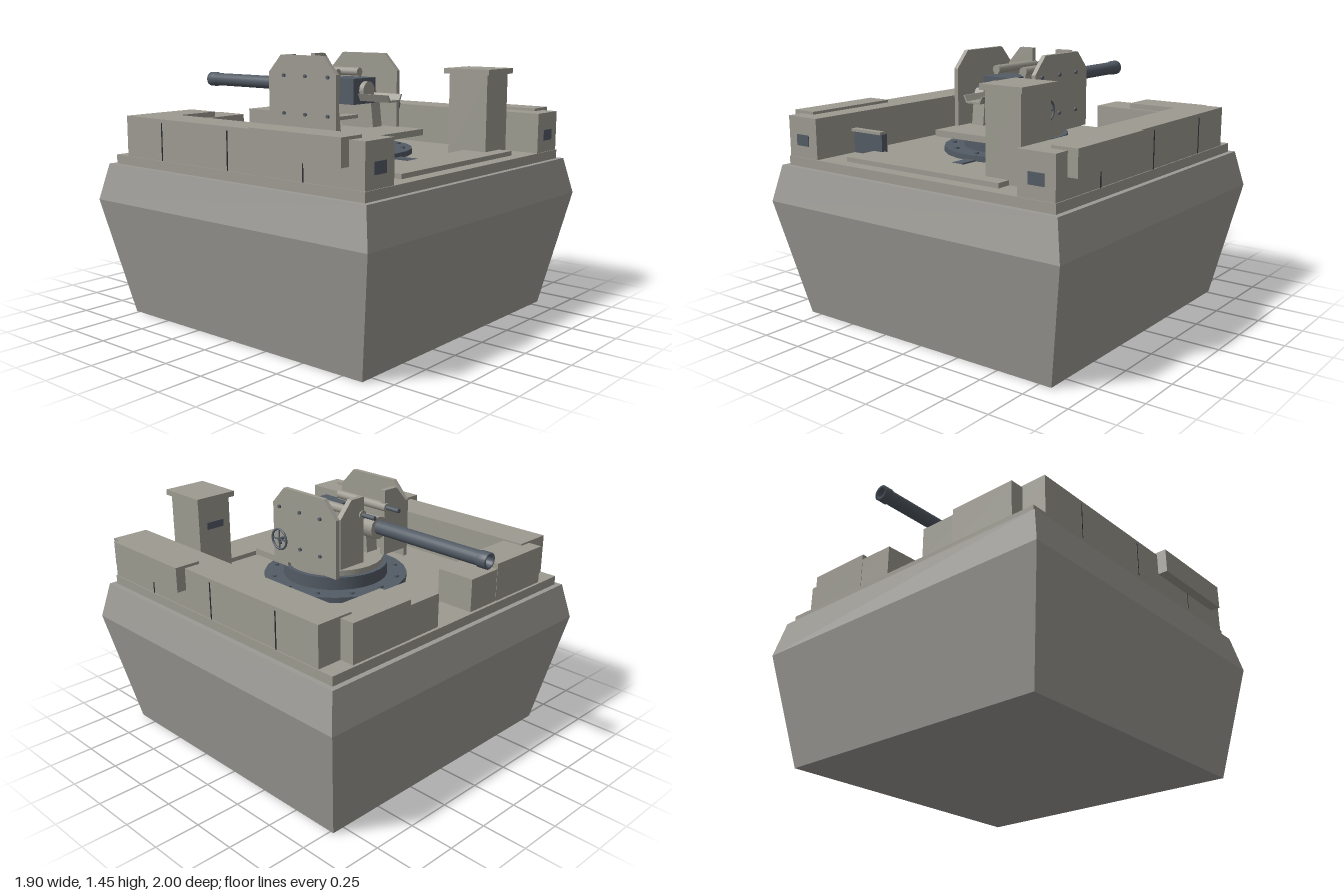
import * as THREE from 'three';

export function createModel() {
  const root = new THREE.Group();
  const concrete = new THREE.MeshStandardMaterial({ name: 'concrete grey', color: 0x9c9a95 });
  const grey = new THREE.MeshStandardMaterial({ name: 'painted grey', color: 0x9c9a90 });
  const steel = new THREE.MeshStandardMaterial({ name: 'dark steel', color: 0x535b65 });
  const black = new THREE.MeshStandardMaterial({ name: 'groove black', color: 0x2b2e33 });

  function add(name, geo, mat, parent = root) {
    const mesh = new THREE.Mesh(geo, mat);
    mesh.name = name;
    parent.add(mesh);
    return mesh;
  }
  // Box given by its extents on each axis
  function box(name, mat, x0, x1, y0, y1, z0, z1) {
    const g = new THREE.BoxGeometry(Math.abs(x1 - x0), y1 - y0, z1 - z0);
    g.translate((x0 + x1) / 2, (y0 + y1) / 2, (z0 + z1) / 2);
    return add(name, g, mat);
  }
  // Cylinder along x, y or z
  function rod(name, mat, axis, r, len, x, y, z, sides = 20) {
    const g = new THREE.CylinderGeometry(r, r, len, sides);
    if (axis === 'x') g.rotateZ(Math.PI / 2);
    if (axis === 'z') g.rotateX(Math.PI / 2);
    g.translate(x, y, z);
    return add(name, g, mat);
  }
  function plate(points, depth) {
    const shape = new THREE.Shape(points.map(p => new THREE.Vector2(...p)));
    return new THREE.ExtrudeGeometry(shape, { depth, bevelEnabled: false });
  }
  // Square frustum centred on the emplacement
  function frustum(name, bottom, top, y0, y1) {
    const s = Math.SQRT2;
    const g = new THREE.CylinderGeometry(top * s, bottom * s, y1 - y0, 4).toNonIndexed();
    g.rotateY(Math.PI / 4);
    g.translate(0, (y0 + y1) / 2, 0.05);
    g.computeVertexNormals();
    return add(name, g, concrete);
  }

  // Foundation and deck
  frustum('foundation', 0.82, 0.95, 0, 0.65);
  frustum('foundationShoulder', 0.95, 0.905, 0.65, 0.85);
  box('deck', grey, -0.875, 0.875, 0.85, 0.9, -0.825, 0.925);
  box('frontStep', grey, -0.51, 0.5, 0.9, 0.925, 0.63, 0.85);
  box('floorRail', steel, -0.03, 0.03, 0.9, 0.908, 0.4, 0.63);

  // Parapets and lockers on both sides
  for (const s of [-1, 1]) {
    box('sideParapet', grey, s * 0.66, s * 0.87, 0.9, 1.12, -0.73, 0.92);
    box('parapetLocker', grey, s * 0.78, s * 0.925, 1.0, 1.135, 0.26, 0.83);
    box('parapetWindow', steel, s * 0.72, s * 0.81, 0.965, 1.025, 0.92, 0.924);
    for (const z of [0.555, 0.055, -0.44])
      box('parapetSeam', black, s * 0.868, s * 0.873, 0.9, 1.1, z - 0.003, z + 0.003);
    box('lowRearLocker', grey, s * 0.13, s * 0.54, 0.9, 1.08, -0.808, -0.59);
    box('tallRearLocker', grey, s * 0.34, s * 0.73, 0.9, 1.11, -0.81, -0.61);
    box('frontPanel', steel, s * 0.45, s * 0.66, 0.9, 1.02, 0.61, 0.65);
    box('frontPanelLip', grey, s * 0.445, s * 0.66, 1.02, 1.035, 0.63, 0.668);
  }

  // Observation tower
  box('towerBody', grey, 0.36, 0.57, 0.9, 1.34, 0.53, 0.77);
  box('towerCap', grey, 0.34, 0.59, 1.34, 1.37, 0.505, 0.79);
  box('towerSlit', steel, 0.41, 0.52, 1.18, 1.22, 0.522, 0.53);

  // Turntable with a ring of bolts
  rod('turntableBase', steel, 'y', 0.4, 0.03, 0, 0.915, 0.05, 24);
  for (let i = 0; i < 12; i++) {
    const a = i * Math.PI / 6;
    rod('turntableBolt', steel, 'y', 0.013, 0.01, 0.35 * Math.cos(a), 0.935, 0.05 + 0.35 * Math.sin(a), 8);
  }
  rod('turntableDrum', steel, 'y', 0.29, 0.07, 0, 0.965, 0.05, 28);
  rod('turntableTop', grey, 'y', 0.265, 0.03, 0, 1.015, 0.05, 28);
  box('platform', grey, -0.265, 0.265, 1.0, 1.035, 0.15, 0.425);

  // Gun mount: side plates, shields, trunnion supports and recoil tubes
  const sideProfile = [[-0.25, 1.03], [0.235, 1.03], [0.235, 1.35], [0.145, 1.445], [-0.16, 1.445], [-0.25, 1.35]];
  const supportProfile = [[-0.17, 1.03], [0.06, 1.03], [0.04, 1.235], [-0.13, 1.235], [-0.15, 1.2]];
  for (const s of [-1, 1]) {
    const side = plate(sideProfile, 0.025);
    side.rotateY(Math.PI / 2);
    side.translate(s * 0.2625 - 0.0125, 0, 0);
    add('mountSidePlate', side, grey);
    for (const y of [1.13, 1.335]) for (const z of [0.195, 0.035, -0.12])
      rod('sidePlateBolt', steel, 'x', 0.01, 0.014, s * 0.278, y, z, 8);

    const pts = [[0.08, 1.08], [0.25, 1.08], [0.25, 1.35], [0.17, 1.44], [0.08, 1.44]].map(p => [s * p[0], p[1]]);
    const shield = plate(pts, 0.03);
    shield.translate(0, 0, -0.243);
    add('mountFrontShield', shield, grey);

    const support = plate(supportProfile, 0.08);
    support.rotateY(Math.PI / 2);
    support.translate(s * 0.18 - 0.04, 0, 0);
    add('trunnionSupport', support, grey);
    rod('trunnionDisc', steel, 'x', 0.065, 0.04, s * 0.234, 1.18, 0.05, 20);
    rod('trunnionPin', steel, 'x', 0.03, 0.15, s * 0.16, 1.2, 0.05, 16);

    box('cradleCheek', grey, s * 0.08, s * 0.108, 1.2, 1.325, -0.24, 0.11);
    rod('recoilTube', grey, 'z', 0.024, 0.36, s * 0.092, 1.345, -0.07, 16);
    rod('recoilRod', steel, 'z', 0.012, 0.1, s * 0.092, 1.345, -0.285, 12);
  }
  box('cradleCrossbar', grey, -0.14, 0.14, 1.08, 1.1, -0.03, 0.06);

  // Breech, jacket and loading tray
  box('breech', steel, -0.095, 0.095, 1.18, 1.32, 0.03, 0.22);
  rod('breechPlug', grey, 'z', 0.048, 0.03, 0, 1.255, 0.235, 20);
  rod('barrelJacket', grey, 'z', 0.062, 0.31, 0, 1.26, -0.125, 12);
  const tray = plate([[-0.065, 1.24], [-0.045, 1.2], [0.045, 1.2], [0.065, 1.24], [0.055, 1.24], [0.038, 1.21], [-0.038, 1.21], [-0.055, 1.24]], 0.2);
  tray.translate(0, 0, 0.225);
  add('loadingTray', tray, grey);

  // Hollow barrel with a muzzle band
  const profile = [[0, 0.25], [0.038, 0.25], [0.038, 0.95], [0.043, 0.95], [0.043, 1], [0.027, 1], [0.027, 0.9], [0, 0.9]];
  const barrelGeo = new THREE.LatheGeometry(profile.map(p => new THREE.Vector2(...p)), 24);
  barrelGeo.rotateX(-Math.PI / 2);
  barrelGeo.translate(0, 1.265, 0);
  add('barrel', barrelGeo, steel);

  // Elevating handwheel
  const wheel = new THREE.Group();
  wheel.name = 'handwheel';
  add('wheelRim', new THREE.TorusGeometry(0.056, 0.006, 8, 24), steel, wheel);
  for (const a of [0, Math.PI / 2]) {
    const spoke = new THREE.CylinderGeometry(0.004, 0.004, 0.11, 6);
    spoke.rotateZ(a);
    add('wheelSpoke', spoke, steel, wheel);
  }
  wheel.rotation.y = Math.PI / 2;
  wheel.position.set(0.302, 1.16, 0.175);
  root.add(wheel);
  rod('wheelAxle', steel, 'x', 0.01, 0.04, 0.288, 1.16, 0.175, 10);

  return root;
}
